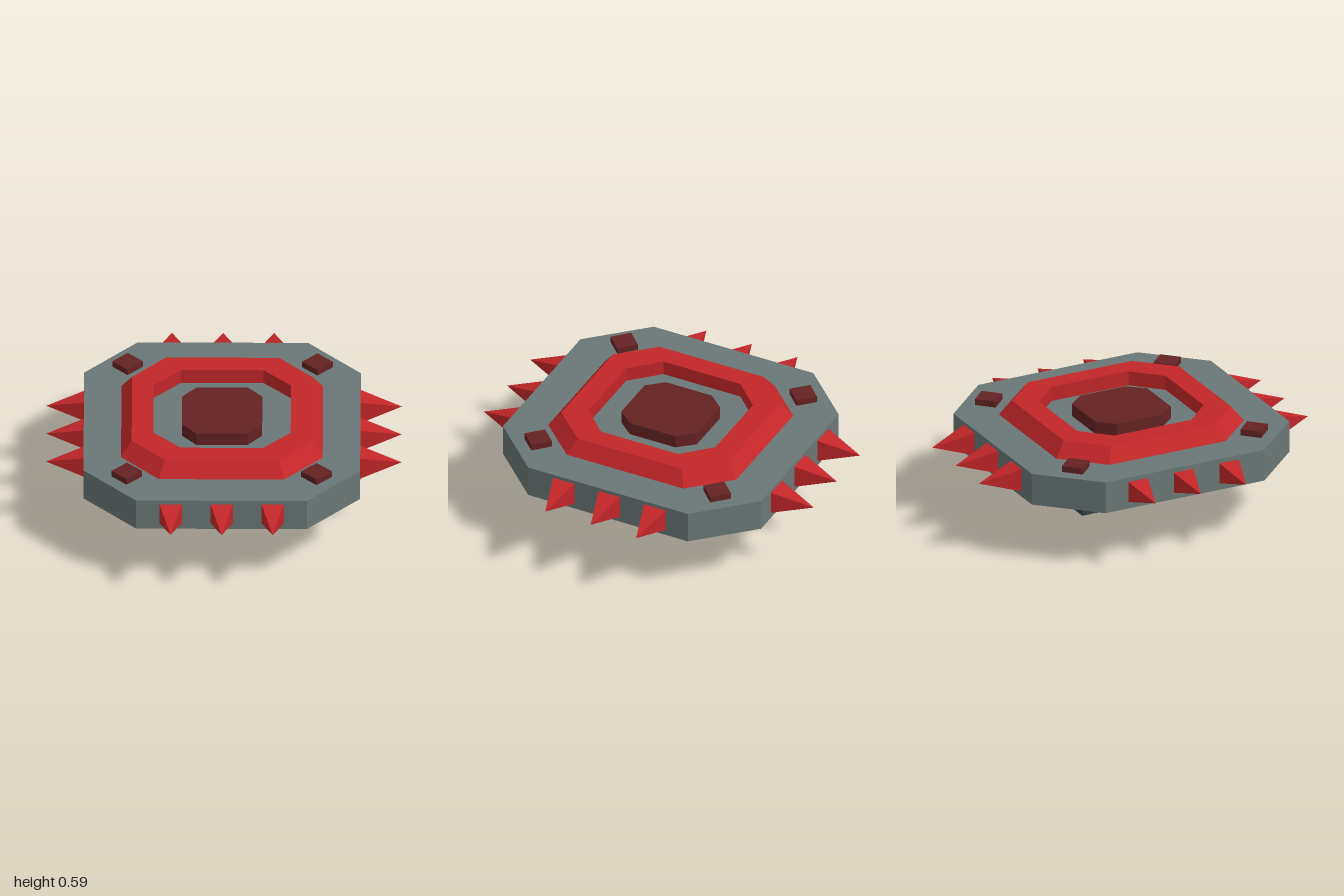
import * as THREE from 'three';

const paint = (name, color) => {
  const m = new THREE.MeshStandardMaterial({ color });
  m.name = name;
  return m;
};

// Skins a stack of chamfered rectangles: [half x, half z, flat x, flat z, y]
function loft(loops) {
  const ring = ([hx, hz, fx, fz, y]) => [
    [hx, y, fz], [hx, y, -fz], [fx, y, -hz], [-fx, y, -hz],
    [-hx, y, -fz], [-hx, y, fz], [-fx, y, hz], [fx, y, hz],
  ];
  const pos = [];
  for (let k = 0; k < loops.length - 1; k++) {
    const a = ring(loops[k]), b = ring(loops[k + 1]);
    for (let i = 0; i < 8; i++) {
      const j = (i + 1) % 8;
      pos.push(...a[i], ...a[j], ...b[j], ...a[i], ...b[j], ...b[i]);
    }
  }
  const g = new THREE.BufferGeometry();
  g.setAttribute('position', new THREE.Float32BufferAttribute(pos, 3));
  g.computeVertexNormals();
  return g;
}

// Solid chamfered slab between two heights
const slab = (hx, hz, fx, fz, y0, y1) => loft([
  [0, 0, 0, 0, y0], [hx, hz, fx, fz, y0], [hx, hz, fx, fz, y1], [0, 0, 0, 0, y1],
]);

export function createModel() {
  const grey = paint('plate grey', 0x6a7776);
  const darkGrey = paint('handle grey', 0x364144);
  const red = paint('spike red', 0xc32628);
  const darkRed = paint('boss dark red', 0x652224);

  const model = new THREE.Group();
  model.name = 'spikedShield';
  const add = (name, geometry, material, x = 0, y = 0, z = 0) => {
    const mesh = new THREE.Mesh(geometry, material);
    mesh.name = name;
    mesh.position.set(x, y, z);
    model.add(mesh);
    return mesh;
  };
  const cx = -0.013, cz = 0.008;

  // Plate, raised bevelled ring and centre boss
  add('plate', slab(0.745, 0.78, 0.46, 0.482, 0.33, 0.51), grey, cx, 0, cz);
  add('ring', loft([
    [0.543, 0.568, 0.338, 0.352, 0.51],
    [0.486, 0.506, 0.305, 0.315, 0.592],
    [0.37, 0.383, 0.222, 0.233, 0.592],
    [0.37, 0.383, 0.222, 0.233, 0.51],
  ]), red, cx, 0, cz);
  add('boss', slab(0.216, 0.228, 0.138, 0.138, 0.51, 0.582), darkRed, cx, 0, cz);

  // Diamond studs on the four corners
  for (const sx of [-1, 1]) for (const sz of [-1, 1]) {
    const stud = add('stud', new THREE.BoxGeometry(0.117, 0.036, 0.117), darkRed,
      cx + sx * 0.511, 0.527, cz + sz * 0.541);
    stud.rotation.y = Math.PI / 4;
  }

  // Three square spikes on each long edge
  const spike = new THREE.ConeGeometry(0.092, 0.225, 4, 1).toNonIndexed();
  spike.rotateY(Math.PI / 4);
  spike.computeVertexNormals();
  spike.rotateX(Math.PI / 2); // tip towards +z
  for (const s of [-1, 1]) for (const t of [-0.275, 0, 0.275]) {
    const endSpike = add('endSpike', spike, red, -0.012 + t, 0.426, s * 0.8845);
    endSpike.rotation.y = s > 0 ? 0 : Math.PI;
    const sideSpike = add('sideSpike', spike, red, -0.003 + s * 0.845, 0.426, t);
    sideSpike.rotation.y = s * Math.PI / 2;
  }

  // Square handle underneath
  add('handleGrip', new THREE.BoxGeometry(0.09, 0.09, 0.52), darkGrey, -0.01, 0.045, 0.01);
  for (const s of [-1, 1])
    add('handlePost', new THREE.BoxGeometry(0.09, 0.24, 0.042), darkGrey, -0.01, 0.21, 0.01 + s * 0.239);

  return model;
}
